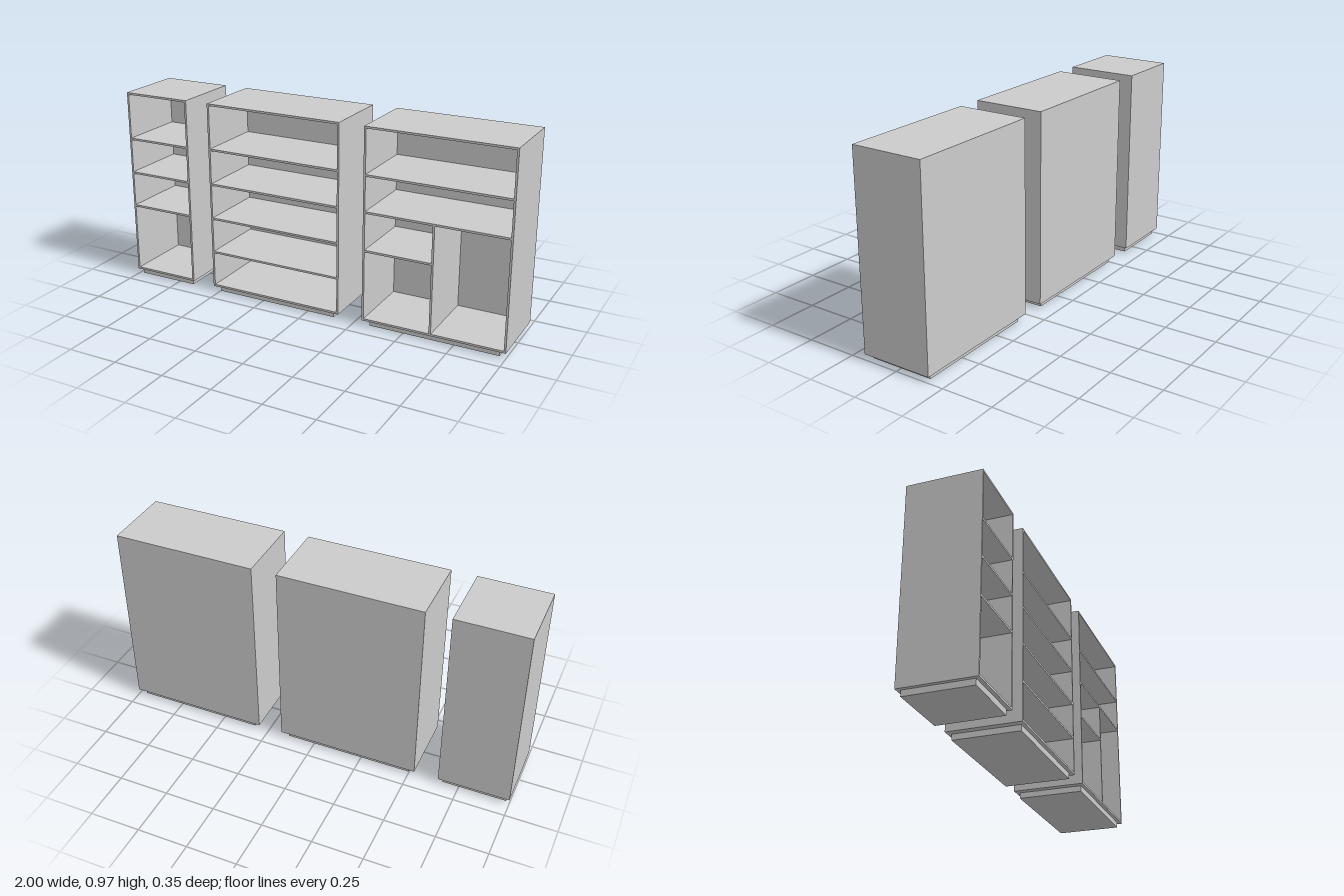
import * as THREE from 'three';

const BASE = 0.028, TOP = 0.97, HALF_DEPTH = 0.176, T = 0.01;
const material = new THREE.MeshStandardMaterial({ color: 0xcccccc });

// Box given by its min and max on each axis
function panel(group, name, x0, x1, y0, y1, z0 = -HALF_DEPTH, z1 = HALF_DEPTH) {
  const mesh = new THREE.Mesh(new THREE.BoxGeometry(x1 - x0, y1 - y0, z1 - z0), material);
  mesh.position.set((x0 + x1) / 2, (y0 + y1) / 2, (z0 + z1) / 2);
  mesh.name = name;
  group.add(mesh);
}

// Open-fronted carcass on a recessed plinth, with full-width shelves at the given centre heights
function bookcase(name, x0, x1, plinthInset, shelves) {
  const group = new THREE.Group();
  group.name = name;
  const back = -HALF_DEPTH + T;
  panel(group, 'plinth', x0 + plinthInset, x1 - plinthInset, 0, BASE, -0.158, 0.158);
  panel(group, 'bottomPanel', x0, x1, BASE, BASE + T);
  panel(group, 'topPanel', x0, x1, TOP - T, TOP);
  panel(group, 'rightSide', x0, x0 + T, BASE + T, TOP - T);
  panel(group, 'leftSide', x1 - T, x1, BASE + T, TOP - T);
  panel(group, 'backPanel', x0 + T, x1 - T, BASE + T, TOP - T, -HALF_DEPTH, back);
  for (const y of shelves) panel(group, 'shelf', x0 + T, x1 - T, y - T / 2, y + T / 2, back);
  return group;
}

export function createModel() {
  const model = new THREE.Group();
  model.name = 'bookcaseSet';

  const narrow = bookcase('narrowBookcase', -1, -0.65, 0.018, [0.733, 0.556, 0.379]);
  const wide = bookcase('wideBookcase', -0.53, 0.173, 0.033, [0.743, 0.567, 0.39, 0.213]);
  const divided = bookcase('dividedBookcase', 0.296, 1, 0.033, [0.743, 0.567]);

  // Upright divider and the half-width shelf beside it
  const back = -HALF_DEPTH + T;
  panel(divided, 'divider', 0.634, 0.644, BASE + T, 0.562, back);
  panel(divided, 'halfShelf', 0.306, 0.634, 0.374, 0.384, back);

  model.add(narrow, wide, divided);
  return model;
}
